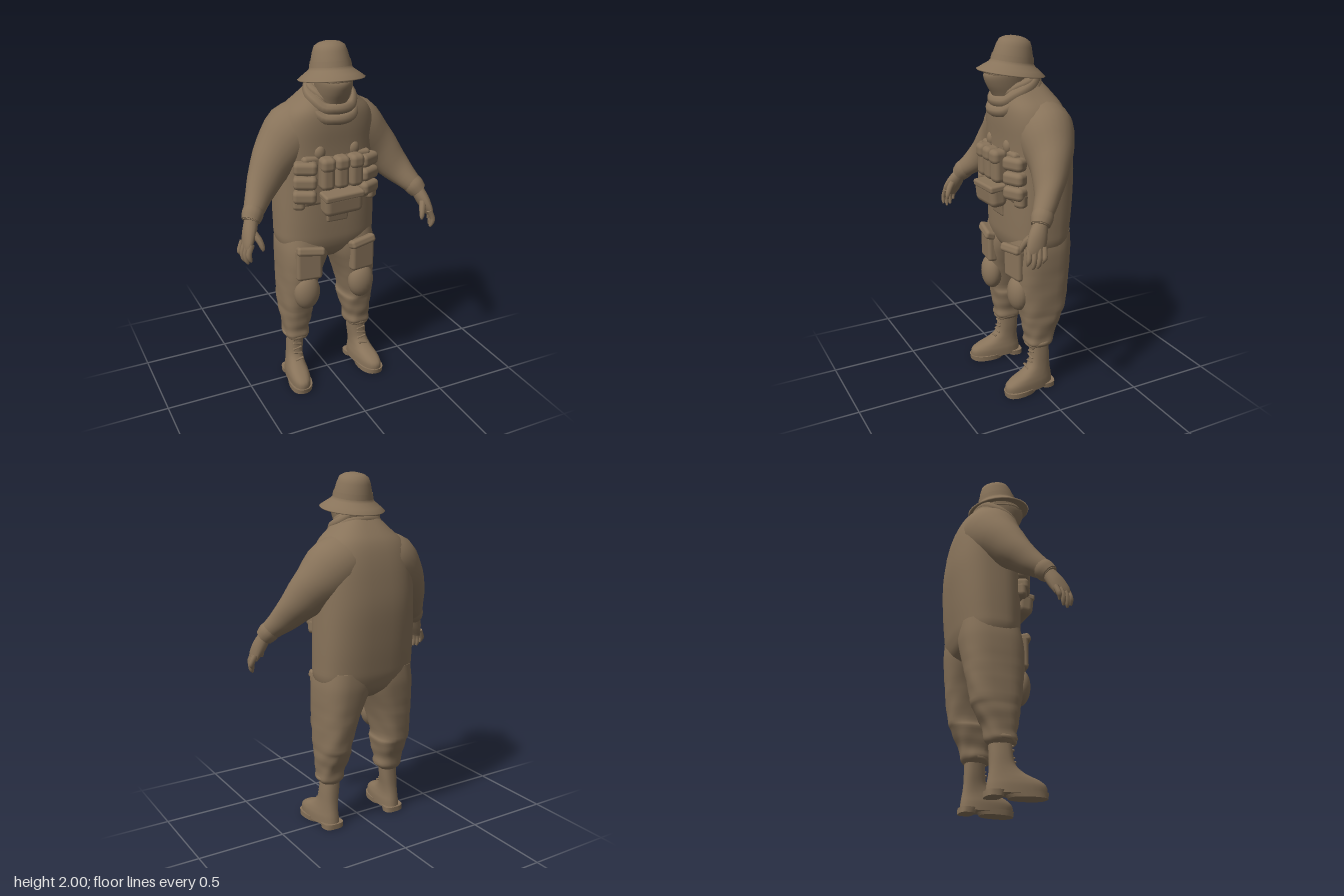
import * as THREE from 'three';
import { RoundedBoxGeometry } from 'three/addons/geometries/RoundedBoxGeometry.js';

const V = (x, y, z) => new THREE.Vector3(x, y, z);

// Smoothly subdivide a list of number rows (Catmull-Rom)
function refine(rows, steps) {
  const out = [];
  const at = i => rows[Math.max(0, Math.min(rows.length - 1, i))];
  for (let i = 0; i < rows.length - 1; i++) {
    for (let k = 0; k < steps; k++) {
      const t = k / steps;
      out.push(at(i).map((b, c) => {
        const a = at(i - 1)[c], d = at(i + 1)[c], e = at(i + 2)[c];
        return b + 0.5 * t * (d - a + t * (2 * a - 5 * b + 4 * d - e + t * (3 * (b - d) + e - a)));
      }));
    }
  }
  out.push(rows[rows.length - 1]);
  return out;
}

// Skin a stack of rings and close both ends
function skin(rings) {
  const n = rings[0].length, pos = [], idx = [];
  rings.forEach(r => r.forEach(p => pos.push(p.x, p.y, p.z)));
  for (let i = 0; i < rings.length - 1; i++) {
    for (let j = 0; j < n; j++) {
      const a = i * n + j, b = i * n + (j + 1) % n;
      idx.push(a, a + n, b, b, a + n, b + n);
    }
  }
  [0, rings.length - 1].forEach((ri, end) => {
    const c = rings[ri].reduce((s, p) => s.add(p), V(0, 0, 0)).divideScalar(n);
    const base = pos.length / 3;
    pos.push(c.x, c.y, c.z);
    rings[ri].forEach(p => pos.push(p.x, p.y, p.z));
    for (let j = 0; j < n; j++) {
      const a = base + 1 + j, b = base + 1 + (j + 1) % n;
      if (end) idx.push(base, b, a); else idx.push(base, a, b);
    }
  });
  const g = new THREE.BufferGeometry();
  g.setAttribute('position', new THREE.Float32BufferAttribute(pos, 3));
  g.setIndex(idx);
  g.computeVertexNormals();
  return g;
}

// Upright body: rows of [y, xMin, xMax, zBack, zFront], bottom to top; cloth folds fade out upwards
function stack(rows, { n = 28, p = 0.85, fold = 0, shear = 0, steps = 4 } = {}) {
  const pw = v => Math.sign(v) * Math.abs(v) ** p;
  return skin(refine(rows, steps).map(([y, x0, x1, z0, z1]) => Array.from({ length: n }, (_, j) => {
    const a = j / n * Math.PI * 2;
    const k = 1 + fold * Math.max(0, 1 - y / 0.8) * Math.sin(2 * a + y * 55) * Math.cos(3 * a - y * 21);
    const z = (z0 + z1) / 2 + pw(Math.sin(a)) * k * (z1 - z0) / 2;
    return V((x0 + x1) / 2 + pw(Math.cos(a)) * k * (x1 - x0) / 2 + shear * z, y, z);
  })));
}

// Limb along a path: rows of [x, y, z, radius across, radius in depth]
function limb(rows, { n = 16, steps = 4, fold = 0 } = {}) {
  const R = refine(rows, steps), c = R.map(r => V(r[0], r[1], r[2]));
  return skin(R.map((r, i) => {
    const d = c[Math.min(i + 1, c.length - 1)].clone().sub(c[Math.max(i - 1, 0)]).normalize();
    const B = V(0, 0, 1).addScaledVector(d, -d.z).normalize();
    const A = B.clone().cross(d.clone().negate());
    return Array.from({ length: n }, (_, j) => {
      const a = j / n * Math.PI * 2, k = 1 + fold * Math.sin(i * 1.7 + 2 * a);
      return c[i].clone().addScaledVector(A, Math.cos(a) * r[3] * k).addScaledVector(B, Math.sin(a) * r[4] * k);
    });
  }));
}

function mirrored(geo) {
  const g = geo.clone().scale(-1, 1, 1);
  const ix = g.index ? Array.from(g.index.array) : Array.from({ length: g.attributes.position.count }, (_, i) => i);
  for (let i = 0; i < ix.length; i += 3) [ix[i], ix[i + 1]] = [ix[i + 1], ix[i]];
  g.setIndex(ix);
  return g;
}

const pad = (w, h, d, x, y, z, ry = 0, rx = 0, rz = 0) =>
  new RoundedBoxGeometry(w, h, d, 2, Math.min(w, h, d) * 0.35).rotateZ(rz).rotateX(rx).rotateY(ry).translate(x, y, z);
const ball = (x, y, z, rx, ry, rz) => new THREE.SphereGeometry(1, 20, 14).scale(rx, ry, rz).translate(x, y, z);

// Closed cloth roll around the neck or head, dipping at the front
function roll(rx, rz, cz, y, dip, r) {
  const pts = Array.from({ length: 14 }, (_, i) => {
    const a = i / 14 * Math.PI * 2;
    return V(Math.cos(a) * rx, y - dip * Math.sin(a) + 0.005 * Math.sin(a * 5), cz + Math.sin(a) * rz);
  });
  return new THREE.TubeGeometry(new THREE.CatmullRomCurve3(pts, true), 42, r, 8, true);
}

export function createModel() {
  const model = new THREE.Group();
  const cloth = new THREE.MeshStandardMaterial({ name: 'drab brown', color: 0x88735a, side: THREE.DoubleSide });
  const add = (name, geo) => {
    const m = new THREE.Mesh(geo, cloth);
    m.name = name;
    model.add(m);
  };
  const pair = (name, geo) => { add('left ' + name, geo); add('right ' + name, mirrored(geo)); };

  // Loose smock, tucked in between the trouser legs
  add('smock', stack([
    [0.775, -0.14, 0.14, -0.13, 0.03], [0.83, -0.25, 0.25, -0.205, 0.095], [0.9, -0.286, 0.286, -0.234, 0.122],
    [0.98, -0.29, 0.29, -0.246, 0.128], [1.12, -0.29, 0.29, -0.259, 0.13], [1.3, -0.286, 0.286, -0.266, 0.13],
    [1.45, -0.283, 0.283, -0.252, 0.132], [1.56, -0.27, 0.27, -0.232, 0.138], [1.64, -0.235, 0.235, -0.205, 0.135],
    [1.7, -0.17, 0.17, -0.165, 0.12], [1.76, -0.11, 0.11, -0.115, 0.1]], { n: 48, p: 0.76 }));
  pair('sleeve', limb([
    [0.03, 1.575, -0.05, 0.14, 0.14], [0.175, 1.5, -0.06, 0.172, 0.162], [0.31, 1.378, -0.022, 0.126, 0.113],
    [0.412, 1.252, 0.046, 0.085, 0.07], [0.482, 1.165, 0.118, 0.055, 0.053], [0.51, 1.125, 0.145, 0.042, 0.044]],
  { n: 24, fold: 0.012 }));
  pair('cuff', limb([[0.475, 1.18, 0.108, 0.054, 0.054], [0.49, 1.155, 0.124, 0.058, 0.058],
    [0.508, 1.128, 0.142, 0.05, 0.05]], { steps: 3 }));

  // Gloved hands
  pair('palm', limb([[0.5, 1.14, 0.135, 0.036, 0.036], [0.525, 1.08, 0.165, 0.036, 0.05],
    [0.545, 1.03, 0.185, 0.026, 0.052], [0.555, 1.0, 0.19, 0.018, 0.045]]));
  for (let i = 0; i < 4; i++) {
    const z = 0.15 + i * 0.025, low = [0.95, 0.925, 0.92, 0.94][i], x = -i * 0.008;
    pair('finger ' + (i + 1), limb([[0.56 + x, 1.03, z, 0.017, 0.015], [0.58 + x, 0.985, z + 0.006, 0.016, 0.014],
      [0.578 + x, low + 0.02, z + 0.01, 0.014, 0.012], [0.57 + x, low, z + 0.012, 0.006, 0.006]], { n: 8, steps: 2 }));
  }
  pair('thumb', limb([[0.52, 1.09, 0.175, 0.022, 0.022], [0.495, 1.05, 0.215, 0.018, 0.018],
    [0.482, 1.01, 0.235, 0.014, 0.014], [0.48, 0.99, 0.238, 0.006, 0.006]], { n: 8, steps: 2 }));

  // Baggy trousers, bloused over the boots
  pair('trouser leg', stack([
    [0.27, 0.145, 0.255, -0.085, 0.035], [0.295, 0.125, 0.275, -0.105, 0.06], [0.34, 0.125, 0.272, -0.11, 0.06],
    [0.4, 0.112, 0.28, -0.135, 0.072], [0.46, 0.1, 0.283, -0.165, 0.08], [0.5, 0.108, 0.285, -0.18, 0.09],
    [0.62, 0.08, 0.286, -0.2, 0.108], [0.72, 0.045, 0.287, -0.213, 0.12], [0.8, 0.01, 0.288, -0.222, 0.124],
    [0.87, -0.01, 0.285, -0.228, 0.118], [0.95, -0.01, 0.272, -0.226, 0.1]], { n: 32, p: 0.76, fold: 0.07 }));
  pair('knee pad', ball(0.172, 0.605, 0.092, 0.078, 0.105, 0.06));
  pair('thigh pocket', pad(0.15, 0.19, 0.06, 0.165, 0.79, 0.108, 0.12));
  pair('pocket flap', pad(0.16, 0.05, 0.065, 0.16, 0.87, 0.122, 0.12, -0.3, 0.12));
  pair('ankle fold', roll(0.065, 0.07, 0, 0, 0.015, 0.014).translate(0.2, 0.298, -0.022));

  // Laced boots
  pair('boot', stack([
    [0.016, 0.155, 0.28, -0.105, 0.205], [0.06, 0.155, 0.28, -0.1, 0.205], [0.09, 0.16, 0.275, -0.095, 0.17],
    [0.12, 0.165, 0.268, -0.09, 0.1], [0.16, 0.165, 0.262, -0.086, 0.05], [0.22, 0.158, 0.258, -0.085, 0.035],
    [0.31, 0.15, 0.25, -0.085, 0.035]], { n: 22, shear: 0.1 }));
  pair('front sole', stack([[0.0, 0.152, 0.284, 0.01, 0.208], [0.03, 0.15, 0.286, -0.01, 0.213]],
    { n: 22, shear: 0.1, steps: 1 }));
  pair('heel', stack([[0.0, 0.158, 0.278, -0.112, -0.025], [0.03, 0.156, 0.28, -0.112, -0.015]],
    { n: 22, p: 0.7, shear: 0.1, steps: 1 }));
  for (let i = 0; i < 5; i++) {
    const z = [0.062, 0.04, 0.034, 0.031, 0.03][i];
    pair('lace ' + (i + 1), pad(0.055, 0.01, 0.014, 0.212, 0.145 + i * 0.03, z, 0, 0, i % 2 ? 0.2 : -0.2));
  }

  // Chest rig
  add('rig panel', pad(0.4, 0.28, 0.06, 0, 1.28, 0.104));
  for (let i = -1; i <= 1; i++) {
    const x = i * 0.083 + 0.002;
    add('magazine pouch', pad(0.08, 0.17, 0.085, x, 1.325, 0.162, i * 0.08));
    add('magazine flap', pad(0.083, 0.08, 0.088, x, 1.383, 0.17, i * 0.08));
  }
  add('belly pouch', pad(0.23, 0.125, 0.1, 0.003, 1.16, 0.175, 0, 0.08, 0.04));
  add('belly pouch lid', pad(0.232, 0.04, 0.1, 0.003, 1.205, 0.18, 0, 0.08, 0.04));
  for (let i = 0; i < 3; i++) {
    pair('side pouch ' + (i + 1), pad(0.13, 0.074, 0.08, 0.183 + i * 0.003, 1.36 - i * 0.08, 0.118, 0.45));
  }
  pair('hip pouch', pad(0.07, 0.085, 0.065, 0.215, 1.165, 0.098, 0.5));
  pair('shoulder strap', ball(0.1, 1.435, 0.118, 0.032, 0.04, 0.025));
  add('waist flap', pad(0.13, 0.08, 0.04, 0, 1.07, 0.122, 0, 0.15));

  // Masked head
  add('head', stack([
    [1.6, -0.07, 0.07, -0.06, 0.11], [1.69, -0.08, 0.08, -0.06, 0.15], [1.75, -0.09, 0.09, -0.06, 0.185],
    [1.8, -0.096, 0.096, -0.065, 0.202], [1.835, -0.096, 0.096, -0.07, 0.185], [1.89, -0.095, 0.095, -0.07, 0.14]],
  { p: 1 }));
  add('mask edge', roll(0.09, 0.126, 0.066, 1.815, -0.004, 0.009));

  // Neck scarf hanging in loose rolls
  add('scarf neck', stack([[1.62, -0.12, 0.12, -0.12, 0.13], [1.7, -0.125, 0.125, -0.12, 0.125],
    [1.755, -0.11, 0.11, -0.11, 0.1], [1.79, -0.085, 0.085, -0.09, 0.07]], { p: 1 }));
  add('scarf lower roll', roll(0.126, 0.122, 0.03, 1.685, 0.074, 0.03));
  add('scarf upper roll', roll(0.116, 0.112, 0.03, 1.725, 0.062, 0.031));
  add('scarf collar', roll(0.1, 0.1, 0.012, 1.757, 0.045, 0.025));

  // Brimmed sun hat, tipped back
  const hat = new THREE.Group();
  hat.name = 'sun hat';
  const profile = [[0.095, -0.01], [0.172, -0.04], [0.178, -0.034], [0.15, -0.012], [0.118, 0.012], [0.108, 0.026],
    [0.102, 0.06], [0.091, 0.105], [0.079, 0.135], [0.055, 0.15], [0.025, 0.157], [0.0005, 0.158]];
  const shell = new THREE.Mesh(new THREE.LatheGeometry(profile.map(p => new THREE.Vector2(...p)), 28), cloth);
  shell.name = 'hat crown and brim';
  shell.scale.z = 1.06;
  const band = new THREE.Mesh(new THREE.CylinderGeometry(0.106, 0.111, 0.03, 28, 1, true), cloth);
  band.name = 'hat band';
  band.position.y = 0.042;
  band.scale.z = 1.06;
  hat.add(shell, band);
  hat.position.set(0, 1.843, 0.042);
  hat.rotation.x = -0.14;
  model.add(hat);

  return model;
}
